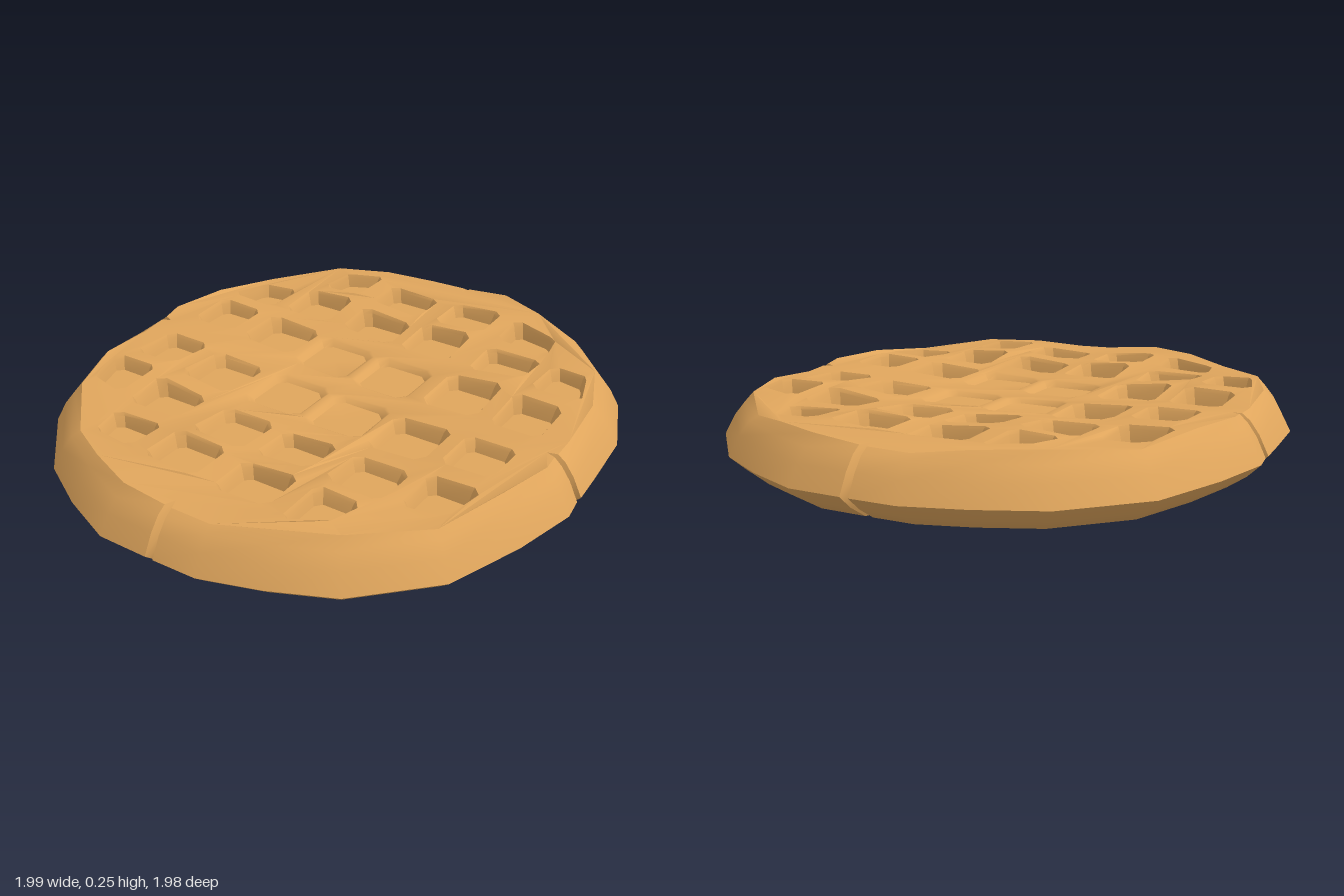
import * as THREE from 'three';
import { mergeGeometries, toCreasedNormals } from 'three/addons/utils/BufferGeometryUtils.js';

// Half of the uneven round outline as [x, z, notch?]; the other half is its half turn.
const HALF_OUTLINE = [
  [-0.01, -0.99], [0.3, -0.96], [0.5, -0.86], [0.67, -0.75], [0.78, -0.62, 1], [0.9, -0.47], [0.96, -0.27],
  [0.995, -0.06], [0.95, 0.25], [0.82, 0.48], [0.64, 0.65], [0.55, 0.73, 1], [0.48, 0.8], [0.27, 0.9],
];

// Half of the pocket centres as [x, z, half length, half width].
const HALF_POCKETS = [
  [-0.07, -0.76, 0.09, 0.09], [0.29, -0.73, 0.08, 0.1], [-0.26, -0.6, 0.09, 0.095], [0.1, -0.59, 0.1, 0.095],
  [0.43, -0.52, 0.105, 0.085], [-0.51, -0.41, 0.09, 0.1], [-0.1, -0.41, 0.108, 0.105], [0.26, -0.37, 0.105, 0.085],
  [-0.72, -0.27, 0.09, 0.095], [-0.37, -0.2, 0.105, 0.11], [0.04, -0.2, 0.115, 0.115], [0.42, -0.18, 0.1, 0.1],
  [0.6, -0.3, 0.1, 0.09], [-0.59, -0.06, 0.105, 0.085], [-0.19, 0, 0.115, 0.115], [0.76, -0.09, 0.1, 0.08],
];

// Top surface: dips in the middle, gently wavy towards the rim.
function topHeight(x, z) {
  const r = Math.hypot(x, z);
  return 0.205 + 0.03 * Math.min(1, (r / 0.6) ** 2) - 0.014 * r * Math.cos(8 * Math.atan2(z, x));
}

// Skin a list of closed rings; a ring collapsed to a point makes a cap.
function loft(rings) {
  const pos = [];
  const tri = (a, b, c) => {
    if (a.equals(b) || b.equals(c) || a.equals(c)) return;
    for (const p of [a, b, c]) pos.push(p.x, p.y, p.z);
  };
  for (let i = 0; i < rings.length - 1; i++) {
    const n = rings[i].length;
    for (let j = 0; j < n; j++) {
      const k = (j + 1) % n;
      tri(rings[i][j], rings[i + 1][j], rings[i][k]);
      tri(rings[i][k], rings[i + 1][j], rings[i + 1][k]);
    }
  }
  const geo = new THREE.BufferGeometry();
  geo.setAttribute('position', new THREE.Float32BufferAttribute(pos, 3));
  return geo;
}

// Outline points, with each notch cut as a narrow V.
function makeOutline() {
  const half = [];
  for (const [x, z, notch] of HALF_OUTLINE) {
    const p = new THREE.Vector2(x, z);
    if (!notch) { half.push(p); continue; }
    const o = new THREE.Vector2();
    half.push(p.clone().rotateAround(o, -0.015), p.clone().multiplyScalar(0.96), p.clone().rotateAround(o, 0.015));
  }
  return [...half, ...half.map((p) => p.clone().negate())];
}

// Opening of a pocket: a tilted square with cut corners, kept inside the rim.
function pocketOpening([cx, cz, len, wid]) {
  const ux = 0.63, uz = 0.777, c = 0.72;
  return [[1, c], [c, 1], [-c, 1], [-1, c], [-1, -c], [-c, -1], [c, -1], [1, -c]].map(([s, t]) => {
    const p = new THREE.Vector2(cx + s * len * ux - t * wid * uz, cz + s * len * uz + t * wid * ux);
    return p.clampLength(0, 0.84);
  });
}

// Sloping walls and floor of a pocket.
function pocketGeometry(pocket, opening) {
  const [cx, cz] = pocket;
  const depth = Math.hypot(cx, cz) < 0.25 ? 0.018 : 0.05;
  const floor = topHeight(cx, cz) - depth;
  const ring = (scale, t) => opening.map((p) => {
    const y = THREE.MathUtils.lerp(topHeight(p.x, p.y), floor, t);
    return new THREE.Vector3(cx + (p.x - cx) * scale, y, cz + (p.y - cz) * scale);
  });
  return loft([ring(1, 0), ring(0.93, 0.22), ring(0.8, 1), ring(0, 1)]);
}

export function createModel() {
  const group = new THREE.Group();
  group.name = 'waffle';
  const material = new THREE.MeshStandardMaterial({ color: 0xdfa55c });
  const add = (name, geo, crease) => {
    const mesh = new THREE.Mesh(toCreasedNormals(geo, crease), material);
    mesh.name = name;
    group.add(mesh);
  };
  const outline = makeOutline();

  // Underside and rounded rim
  const profile = [[0, 0.008], [0.8, 0], [0.88, 0.01], [0.95, 0.055], [1, 0.1], [0.965, 0.165], [0.93, 0.208], [0.9, null]];
  add('rimAndUnderside', loft(profile.map(([s, y]) => outline.map((p) =>
    new THREE.Vector3(p.x * s, y ?? topHeight(p.x * s, p.y * s), p.y * s)))), 0.7);

  // Lattice top with a hole over each pocket
  const pockets = [...HALF_POCKETS, ...HALF_POCKETS.map(([x, z, l, w]) => [-x, -z, l, w])];
  const openings = pockets.map(pocketOpening);
  const flip = (p) => new THREE.Vector2(p.x, -p.y);
  const shape = new THREE.Shape(outline.map((p) => flip(p.clone().multiplyScalar(0.9))));
  shape.holes = openings.map((o) => new THREE.Path(o.map(flip)));
  const top = new THREE.ShapeGeometry(shape).rotateX(-Math.PI / 2).toNonIndexed();
  const pos = top.attributes.position;
  for (let i = 0; i < pos.count; i++) pos.setY(i, topHeight(pos.getX(i), pos.getZ(i)));
  top.deleteAttribute('uv');
  top.deleteAttribute('normal');

  // Lattice and pockets share one surface so the ridges shade softly
  const parts = [top, ...pockets.map((p, i) => pocketGeometry(p, openings[i]))];
  add('latticeTop', mergeGeometries(parts), 0.6);
  return group;
}
